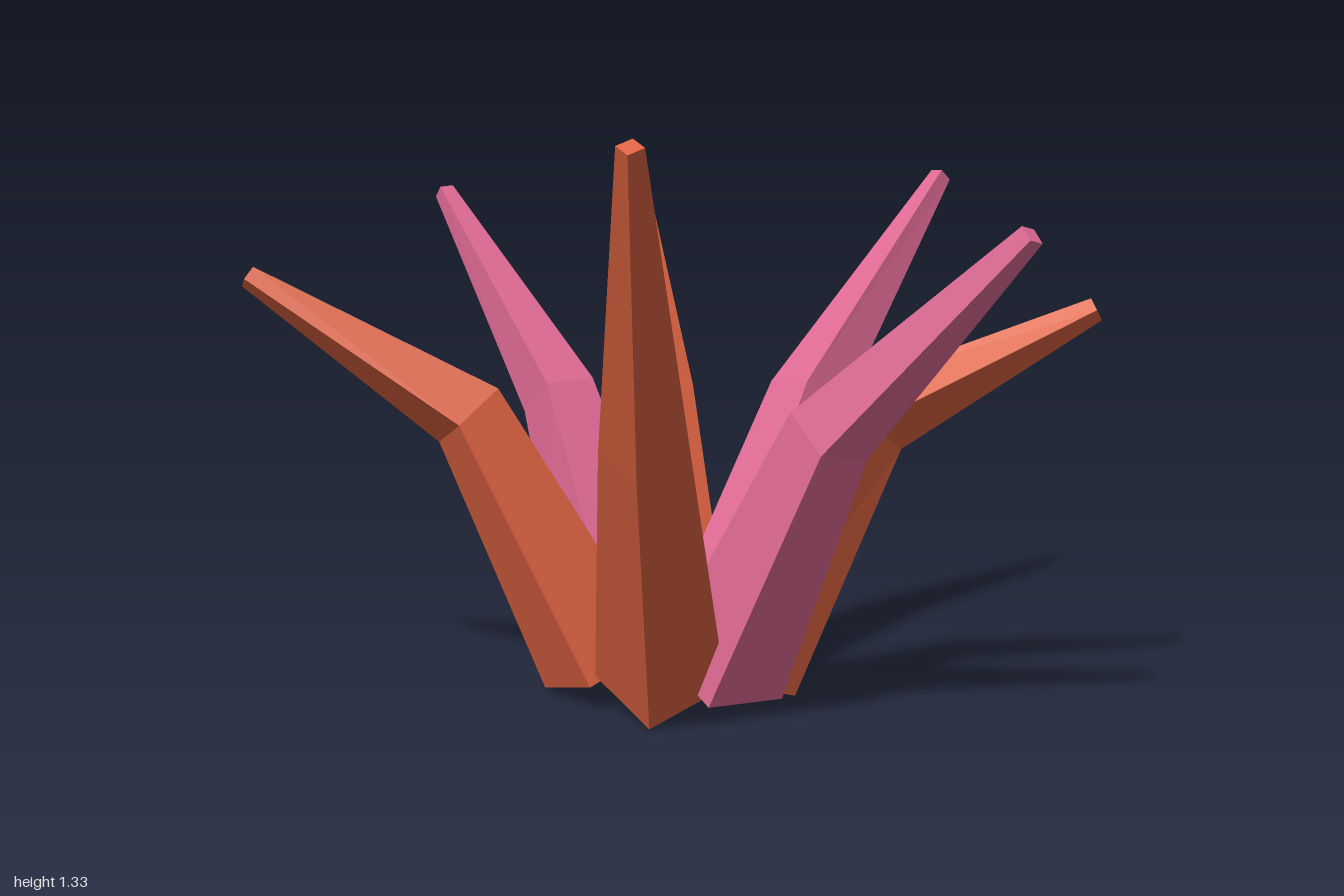
import * as THREE from 'three';

const UP = new THREE.Vector3(0, 1, 0);
const RADII = [0.155, 0.1, 0.028]; // base, bend, tip

// A four-sided tapering spike, bent once; each section is tilted to follow the spine.
function spikeGeometry(points) {
  const [base, bend, tip] = points.map((p) => new THREE.Vector3(...p));
  const lower = bend.clone().sub(base).normalize();
  const upper = tip.clone().sub(bend).normalize();
  const normals = [
    lower.clone().addScaledVector(UP, 0.15).normalize(),
    lower.clone().add(upper).normalize(),
    upper,
  ];
  const centres = [base, bend, tip];
  const turns = normals.map((n) => new THREE.Quaternion().setFromUnitVectors(UP, n));

  const geometry = new THREE.CylinderGeometry(1, 1, 2, 4, 2).toNonIndexed();
  const pos = geometry.attributes.position;
  const v = new THREE.Vector3();
  for (let i = 0; i < pos.count; i++) {
    v.fromBufferAttribute(pos, i);
    const s = Math.round(v.y) + 1;
    v.setY(0).multiplyScalar(RADII[s]).applyQuaternion(turns[s]).add(centres[s]);
    pos.setXYZ(i, v.x, v.y, v.z);
  }
  geometry.computeVertexNormals(); // faceted
  return geometry;
}

export function createModel() {
  const orange = new THREE.MeshStandardMaterial({ color: 0xdb6140 });
  orange.name = 'coral orange';
  const pink = new THREE.MeshStandardMaterial({ color: 0xdf6a94 });
  pink.name = 'rose pink';

  // Spine of each spike: base, bend, tip
  const spikes = [
    ['frontSpike', orange, [[0, 0.075, 0.155], [0.035, 0.67, 0.55], [0.085, 1.315, 0.975]]],
    ['backSpike', orange, [[-0.03, 0.075, -0.16], [-0.13, 0.675, -0.55], [-0.275, 1.31, -0.97]]],
    ['leftSpike', orange, [[0.16, 0.07, -0.01], [0.475, 0.685, -0.015], [0.985, 0.95, -0.01]]],
    ['rightSpike', orange, [[-0.165, 0.07, 0.025], [-0.475, 0.685, 0.08], [-0.985, 1.015, 0.163]]],
    ['frontLeftSpike', pink, [[0.135, 0.08, 0.095], [0.4, 0.685, 0.28], [0.825, 1.14, 0.52]]],
    ['backLeftSpike', pink, [[0.1, 0.08, -0.145], [0.28, 0.68, -0.47], [0.605, 1.245, -0.81]]],
    ['backRightSpike', pink, [[-0.12, 0.08, -0.125], [-0.36, 0.68, -0.385], [-0.745, 1.2, -0.685]]],
  ];

  const model = new THREE.Group();
  model.name = 'spikyPlant';
  for (const [name, material, points] of spikes) {
    const mesh = new THREE.Mesh(spikeGeometry(points), material);
    mesh.name = name;
    model.add(mesh);
  }
  return model;
}
